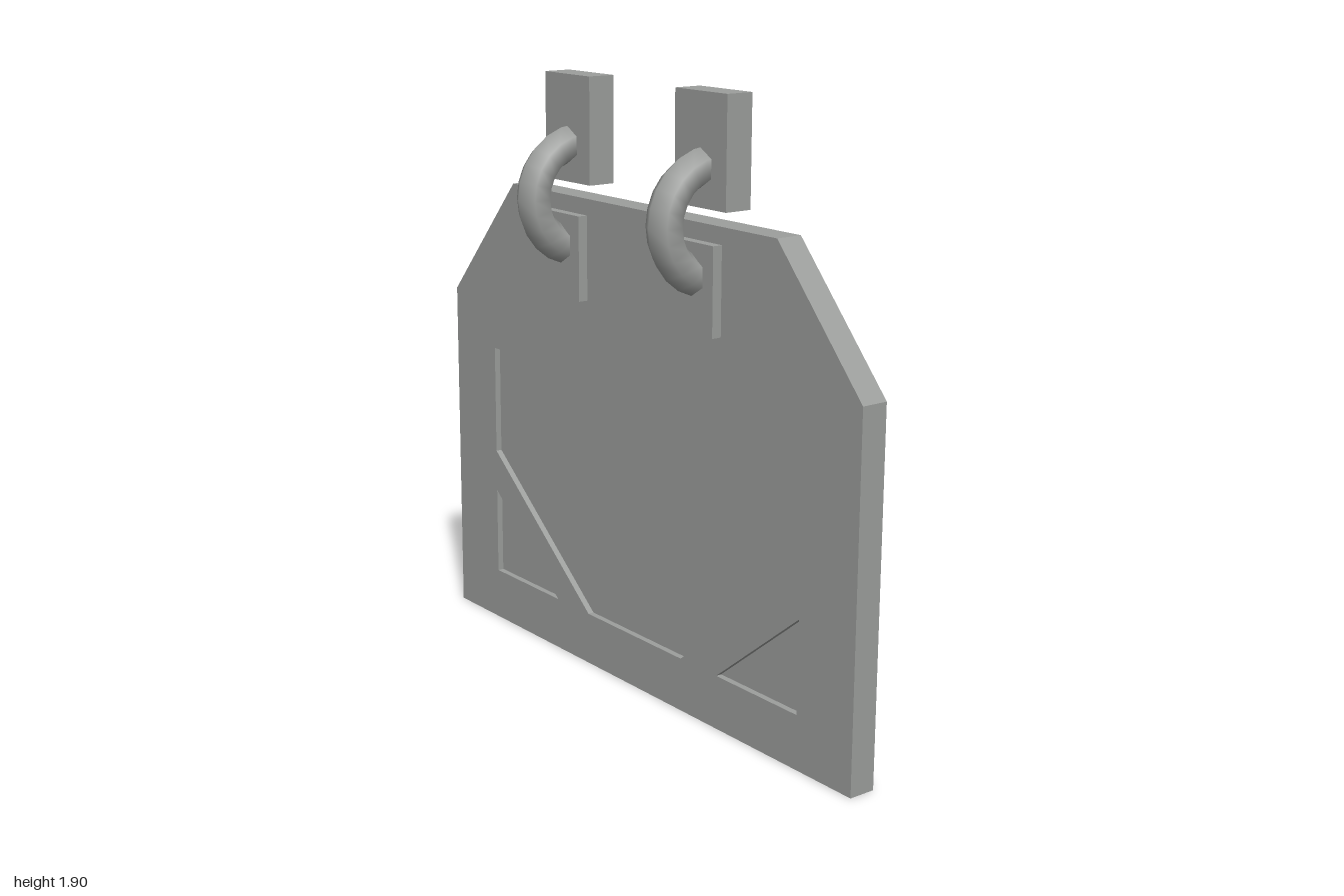
import * as THREE from 'three';
import { mergeGeometries } from 'three/addons/utils/BufferGeometryUtils.js';

const toPoints = (list) => list.map(([x, y]) => new THREE.Vector2(x, y));
const mirror = (list) => list.map(([x, y]) => [-x, y]).reverse();
const rect = (x, y0, y1, halfWidth) => [
  [x - halfWidth, y0], [x + halfWidth, y0], [x + halfWidth, y1], [x - halfWidth, y1],
];

// Thin flat face, optionally pierced, with walls running back from its outline.
function shell(outline, holes, zFace, zRim) {
  const shape = new THREE.Shape(toPoints(outline));
  shape.holes = holes.map((h) => new THREE.Path(toPoints(h)));
  const face = new THREE.ShapeGeometry(shape).toNonIndexed();
  face.translate(0, 0, zFace);
  face.deleteAttribute('uv');

  const corners = [];
  outline.forEach(([ax, ay], i) => {
    const [bx, by] = outline[(i + 1) % outline.length];
    corners.push(ax, ay, zRim, bx, by, zRim, bx, by, zFace);
    corners.push(ax, ay, zRim, bx, by, zFace, ax, ay, zFace);
  });
  const walls = new THREE.BufferGeometry();
  walls.setAttribute('position', new THREE.Float32BufferAttribute(corners, 3));
  walls.computeVertexNormals();
  return mergeGeometries([face, walls]);
}

export function createModel() {
  const group = new THREE.Group();
  const metal = new THREE.MeshStandardMaterial({ color: 0x9c9e9c, side: THREE.DoubleSide });
  metal.name = 'grey metal';

  const add = (name, geometry) => {
    const mesh = new THREE.Mesh(geometry, metal);
    mesh.name = name;
    group.add(mesh);
    return mesh;
  };

  const zFront = -0.05, zBack = -0.137, zRecess = -0.07, zPad = -0.018;
  const ringX = { right: -0.335, left: 0.315 };

  // Outlines, all counter-clockwise from the front
  const board = [[-1, 0], [1, 0], [1, 1.13], [0.645, 1.53], [-0.645, 1.53], [-1, 1.13]];
  const mainRecess = [
    [-0.24, 0.17], [0.24, 0.17], [0.77, 0.6], [0.77, 0.96], [-0.77, 0.96], [-0.77, 0.6],
  ];
  const cornerRecess = [[-0.77, 0.17], [-0.41, 0.17], [-0.77, 0.46]];
  const recesses = {
    mainRecess,
    rightCornerRecess: cornerRecess,
    leftCornerRecess: mirror(cornerRecess),
  };
  const pads = Object.values(ringX).map((x) => rect(x, 1.21, 1.478, 0.096));

  // Sign board, open at the back
  add('signBoard', shell(board, [...Object.values(recesses), ...pads], zFront, zBack));

  // Sunken panels
  for (const [name, outline] of Object.entries(recesses)) {
    add(name, shell(outline, [], zRecess, zFront));
  }

  // Each hanger: pad on the board, wall bracket and half ring
  Object.entries(ringX).forEach(([side, x], i) => {
    add(side + 'Pad', shell(pads[i], [], zPad, zFront));
    add(side + 'Bracket', shell(rect(x, 1.573, 1.905, 0.116), [], -0.046, zBack));

    const ring = new THREE.TorusGeometry(0.163, 0.057, 6, 12, Math.PI);
    ring.applyMatrix4(new THREE.Matrix4().makeBasis(
      new THREE.Vector3(0, 1, 0), new THREE.Vector3(0, 0, 1), new THREE.Vector3(1, 0, 0)));
    add(side + 'Ring', ring).position.set(x, 1.53, -0.08);
  });

  return group;
}
